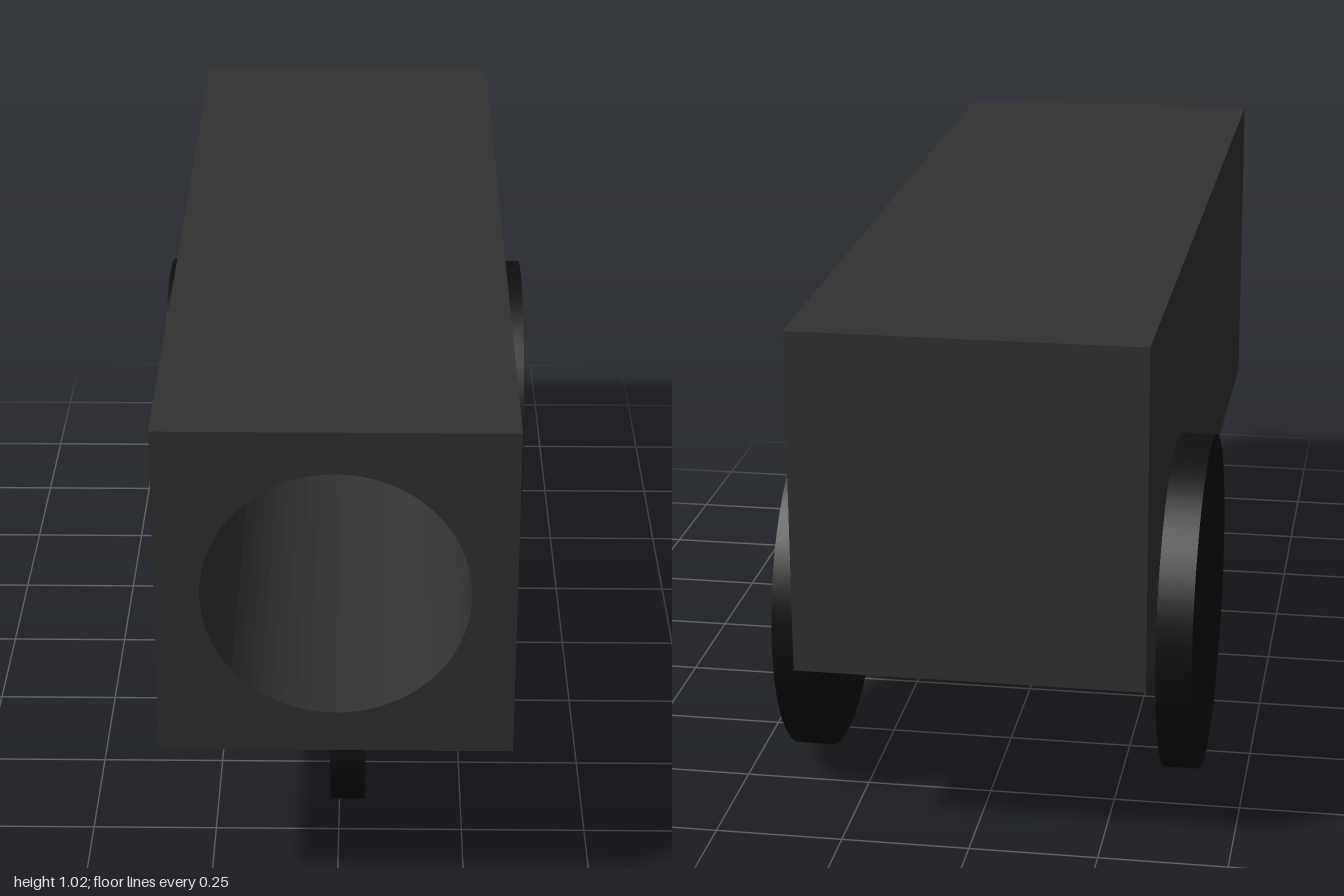
import * as THREE from 'three';

export function createModel() {
  const model = new THREE.Group();
  model.name = 'wheeledTube';

  const bodyMaterial = new THREE.MeshStandardMaterial({ color: 0x333333 });
  bodyMaterial.name = 'charcoal';
  const wheelMaterial = new THREE.MeshStandardMaterial({ color: 0x0f0f0f });
  wheelMaterial.name = 'black rubber';

  function add(name, geometry, material, x, y, z) {
    const mesh = new THREE.Mesh(geometry, material);
    mesh.name = name;
    mesh.position.set(x, y, z);
    model.add(mesh);
  }

  // Square body with a round bore open at the front
  const size = 0.674, centreX = -0.002, centreY = 0.689, wall = 0.1;
  const h = size / 2;
  const section = new THREE.Shape([
    new THREE.Vector2(-h, -h), new THREE.Vector2(h, -h),
    new THREE.Vector2(h, h), new THREE.Vector2(-h, h),
  ]);
  section.holes.push(new THREE.Path().absarc(0, 0, 0.253, 0, Math.PI * 2, true));
  const tube = new THREE.ExtrudeGeometry(section, {
    depth: 2 - wall, bevelEnabled: false, curveSegments: 32,
  });
  add('body', tube, bodyMaterial, centreX, centreY, -1 + wall);

  // Closed back end
  add('backWall', new THREE.BoxGeometry(size, size, wall), bodyMaterial,
    centreX, centreY, -1 + wall / 2);

  // Disc wheels with their axis across the body
  function addWheel(name, radius, x, y, z) {
    const disc = new THREE.CylinderGeometry(radius, radius, 0.07, 64).rotateZ(Math.PI / 2);
    add(name, disc, wheelMaterial, x, y, z);
  }
  addWheel('leftRearWheel', 0.337, 0.374, 0.352, -0.538);
  addWheel('rightRearWheel', 0.337, -0.377, 0.352, -0.538);
  addWheel('frontWheel', 0.168, 0.018, 0.169, 0.589);

  return model;
}
